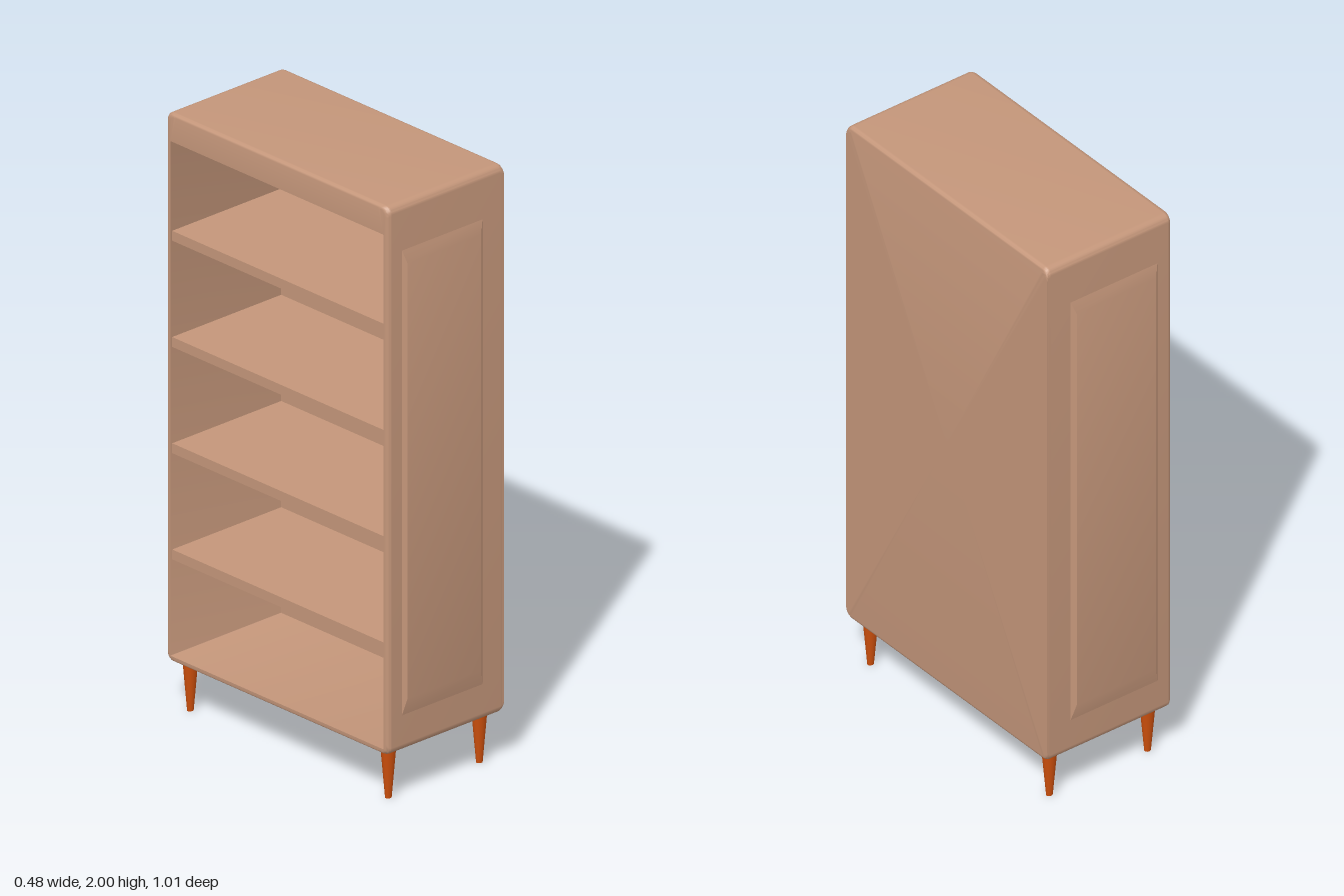
import * as THREE from 'three';
import { toCreasedNormals } from 'three/addons/utils/BufferGeometryUtils.js';

// Ring of a rounded rectangle standing in the z-y plane at the given x.
// Each corner starts and ends with a short straight piece that keeps the flats flat.
function ring(x, halfZ, y0, y1, r) {
  const pts = [];
  const steps = 5;
  const guard = r * 0.2;
  const corners = [[1, 1], [-1, 1], [-1, -1], [1, -1]];
  corners.forEach(([sz, sy], c) => {
    const cz = sz * (halfZ - r);
    const cy = sy > 0 ? y1 - r : y0 + r;
    const point = (a, back) => pts.push([
      x,
      cy + r * Math.sin(a) - back * Math.cos(a),
      cz + r * Math.cos(a) + back * Math.sin(a),
    ]);
    const start = c * Math.PI / 2, end = start + Math.PI / 2;
    point(start, guard);
    for (let i = 0; i <= steps; i++) point(start + (i / steps) * Math.PI / 2, 0);
    point(end, -guard);
  });
  return pts;
}

// Skin a list of rings with equal point counts.
function loft(rings) {
  const n = rings[0].length;
  const index = [];
  for (let k = 0; k < rings.length - 1; k++) {
    for (let j = 0; j < n; j++) {
      const a = k * n + j, b = k * n + (j + 1) % n;
      index.push(a, a + n, b, b, a + n, b + n);
    }
  }
  const geo = new THREE.BufferGeometry();
  geo.setAttribute('position', new THREE.Float32BufferAttribute(rings.flat(2), 3));
  geo.setIndex(index);
  return toCreasedNormals(geo, 0.5);
}

export function createModel() {
  const group = new THREE.Group();
  const wood = new THREE.MeshStandardMaterial({ color: 0xc4967a });
  const orange = new THREE.MeshStandardMaterial({ color: 0xcc4f0c });

  const add = (name, geo, mat) => {
    const mesh = new THREE.Mesh(geo, mat);
    mesh.name = name;
    group.add(mesh);
    return mesh;
  };

  // Hollow case, open towards -x: inside back, inside walls, rim, outside, back
  const X = 0.242, H = 0.495, Y0 = 0.168, Y1 = 2, R = 0.025;
  const midY = (Y0 + Y1) / 2;
  const rings = [
    ring(0.22, 0, midY, midY, 0),
    ring(0.22, 0.473, 0.187, 1.907, 0.002),
    ring(-X, 0.473, 0.187, 1.907, 0.002),
  ];
  // rounded edge around the opening
  for (let i = 0; i <= 5; i++) {
    const a = (i / 5) * Math.PI / 2;
    const s = 1 - Math.sin(a), c = 1 - Math.cos(a);
    rings.push(ring(-X + 0.016 * c, H - 0.016 * s, Y0 + 0.01 * s, Y1 - 0.01 * s, R));
  }
  rings.push(ring(-X + 0.02, H, Y0, Y1, R), ring(X - 0.02, H, Y0, Y1, R));
  // top and bottom edges of the closed side are eased, the upright edges are not
  for (let i = 0; i <= 5; i++) {
    const a = (i / 5) * Math.PI / 2;
    const drop = 0.016 * (1 - Math.cos(a));
    rings.push(ring(X - 0.016 + 0.016 * Math.sin(a), H, Y0 + drop, Y1 - drop, R));
  }
  rings.push(ring(X, H - 0.004, Y0 + 0.02, Y1 - 0.02, R), ring(X, 0, midY, midY, 0));
  add('case', loft(rings), wood);

  // Shelves
  for (let i = 0; i < 4; i++) {
    const shelf = add('shelf', new THREE.BoxGeometry(0.455, 0.033, 0.95), wood);
    shelf.position.set(-0.0075, 1.605 - i * 0.355 - 0.0165, 0);
  }

  // Raised end panels: crisp sloping sides, softly blended top and bottom
  for (const side of [1, -1]) {
    const geo = new THREE.BoxGeometry(1, 1, 1);
    const p = geo.attributes.position;
    for (let i = 0; i < p.count; i++) {
      const raised = p.getZ(i) * side > 0;
      const right = p.getX(i) > 0, top = p.getY(i) > 0;
      const x = raised ? (right ? 0.136 : -0.172) : (right ? 0.155 : -0.188);
      const y = raised ? (top ? 1.8 : 0.345) : (top ? 1.855 : 0.275);
      p.setXYZ(i, x, y, side * (raised ? 0.506 : 0.492));
    }
    add('endPanel', toCreasedNormals(geo, 0.4), wood);
  }

  // Tapered legs, slightly oval
  for (const x of [-0.19, 0.19]) {
    for (const z of [-0.44, 0.44]) {
      const leg = add('leg', new THREE.CylinderGeometry(0.027, 0.011, 0.175, 20), orange);
      leg.scale.z = 0.82;
      leg.position.set(x, 0.0875, z);
    }
  }
  return group;
}
